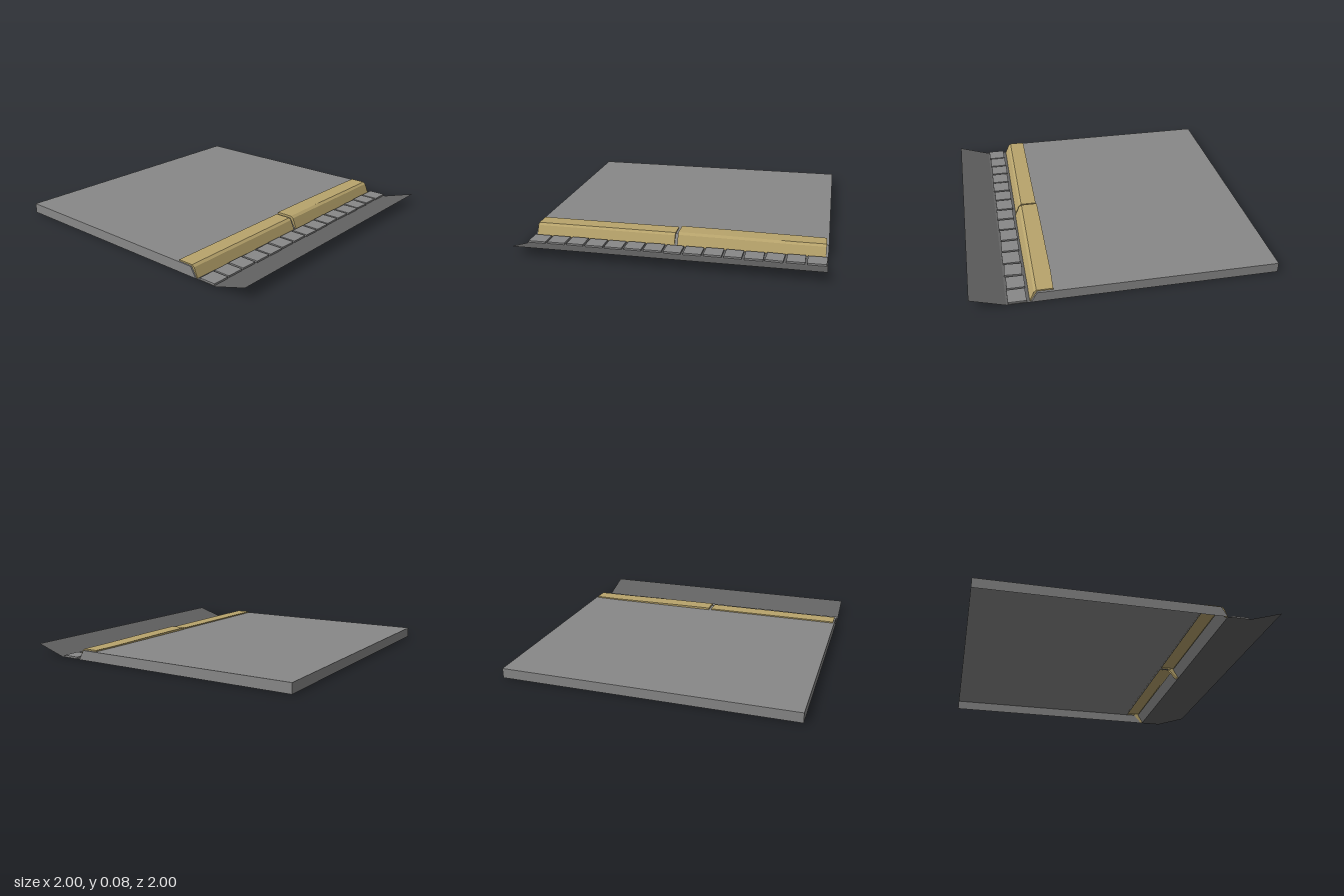
import * as THREE from 'three';

const material = (name, color) => {
  const m = new THREE.MeshStandardMaterial({ color, side: THREE.DoubleSide, flatShading: true });
  m.name = name;
  return m;
};

// Sheet lofted through cross-sections: each is { x, pts: [[z, y], ...] }
function loft(sections) {
  const pos = [];
  for (let i = 0; i < sections.length - 1; i++) {
    const a = sections[i], b = sections[i + 1];
    for (let j = 0; j < a.pts.length - 1; j++) {
      const v = (s, k) => [s.x, s.pts[k][1], s.pts[k][0]];
      pos.push(...v(a, j), ...v(a, j + 1), ...v(b, j + 1));
      pos.push(...v(a, j), ...v(b, j + 1), ...v(b, j));
    }
  }
  const g = new THREE.BufferGeometry();
  g.setAttribute('position', new THREE.Float32BufferAttribute(pos, 3));
  g.computeVertexNormals();
  return g;
}

const sheet = (pts, x0, x1) => loft([{ x: x0, pts }, { x: x1, pts }]);

// Flat upright plate at a given x, outlined in [z, y]
function plate(pts, x) {
  const g = new THREE.ShapeGeometry(new THREE.Shape(pts.map(([z, y]) => new THREE.Vector2(-z, y))));
  return g.rotateY(Math.PI / 2).translate(x, 0, 0);
}

export function createModel() {
  const root = new THREE.Group();
  root.name = 'kerbAndPavement';
  const stone = material('pavement grey', 0x888888);
  const asphalt = material('road grey', 0x626262);
  const sand = material('kerb sand', 0xb8a46c);

  const add = (name, geometry, mat, parent = root) => {
    const mesh = new THREE.Mesh(geometry, mat);
    mesh.name = name;
    parent.add(mesh);
    return mesh;
  };

  // Pavement: hollow slab, open underneath and below the kerb
  const pavement = new THREE.Group();
  pavement.name = 'pavement';
  root.add(pavement);
  const H = 0.068;
  add('pavementTop', sheet([[0.485, H], [-1, H], [-1, 0]], -1, 1), stone, pavement);
  add('pavementFront', sheet([[0.58, H], [0.62, 0]], -1, 1), stone, pavement);
  for (const x of [-1, 1]) {
    add('pavementSide', plate([[-1, 0], [0.62, 0], [0.58, H], [-1, H]], x), stone, pavement);
  }
  // Narrow fillers at the kerb joints
  for (const [x0, x1] of [[-1, -0.988], [-0.016, 0.008], [0.984, 1]]) {
    add('jointFiller', sheet([[0.485, H], [0.58, H]], x0, x1), stone, pavement);
  }

  // Kerb: two stones, the second slightly raised at its inner end
  const kerbProfile = (dy, back, front) => [
    [back, H - 0.001], [back, 0.077 + dy], [0.583, 0.077 + dy],
    [0.6 + front / 2, 0.064 + dy], [0.628 + front, 0],
  ];
  const stones = [
    [[-0.99, 0, 0.476, 0], [-0.015, 0, 0.476, 0]],
    [[0.005, 0.006, 0.471, 0.004], [0.31, 0.005, 0.471, 0.004],
      [0.68, 0.001, 0.472, 0.001], [0.8, 0, 0.472, 0], [0.985, 0, 0.478, 0]],
  ];
  stones.forEach((cuts, i) => {
    const kerb = new THREE.Group();
    kerb.name = i ? 'leftKerb' : 'rightKerb';
    root.add(kerb);
    const sections = cuts.map(([x, dy, back, front]) => ({ x, pts: kerbProfile(dy, back, front) }));
    add('kerbStone', loft(sections), sand, kerb);
    for (const s of [sections[0], sections[sections.length - 1]]) {
      add('kerbEnd', plate([...s.pts, [0.6, 0], [0.54, H - 0.001]], s.x), sand, kerb);
    }
  });

  // Road: flat gutter rising to the outer edge
  add('road', sheet([[0.62, 0], [0.775, 0], [1, 0.07]], -1, 1), asphalt);

  // Row of gutter setts, a little uneven
  const setts = new THREE.Group();
  setts.name = 'gutterSetts';
  root.add(setts);
  for (let i = 0; i < 15; i++) {
    const wobble = Math.sin(i * 2.4);
    const sett = add('sett', new THREE.BoxGeometry(0.119 + 0.004 * wobble, 0.012, 0.117), stone, setts);
    sett.position.set(-0.935 + i * 0.1334, 0.0075, 0.705 + 0.003 * Math.cos(i * 1.7));
    sett.rotation.y = i === 12 ? -0.06 : 0.01 * wobble;
  }
  return root;
}
